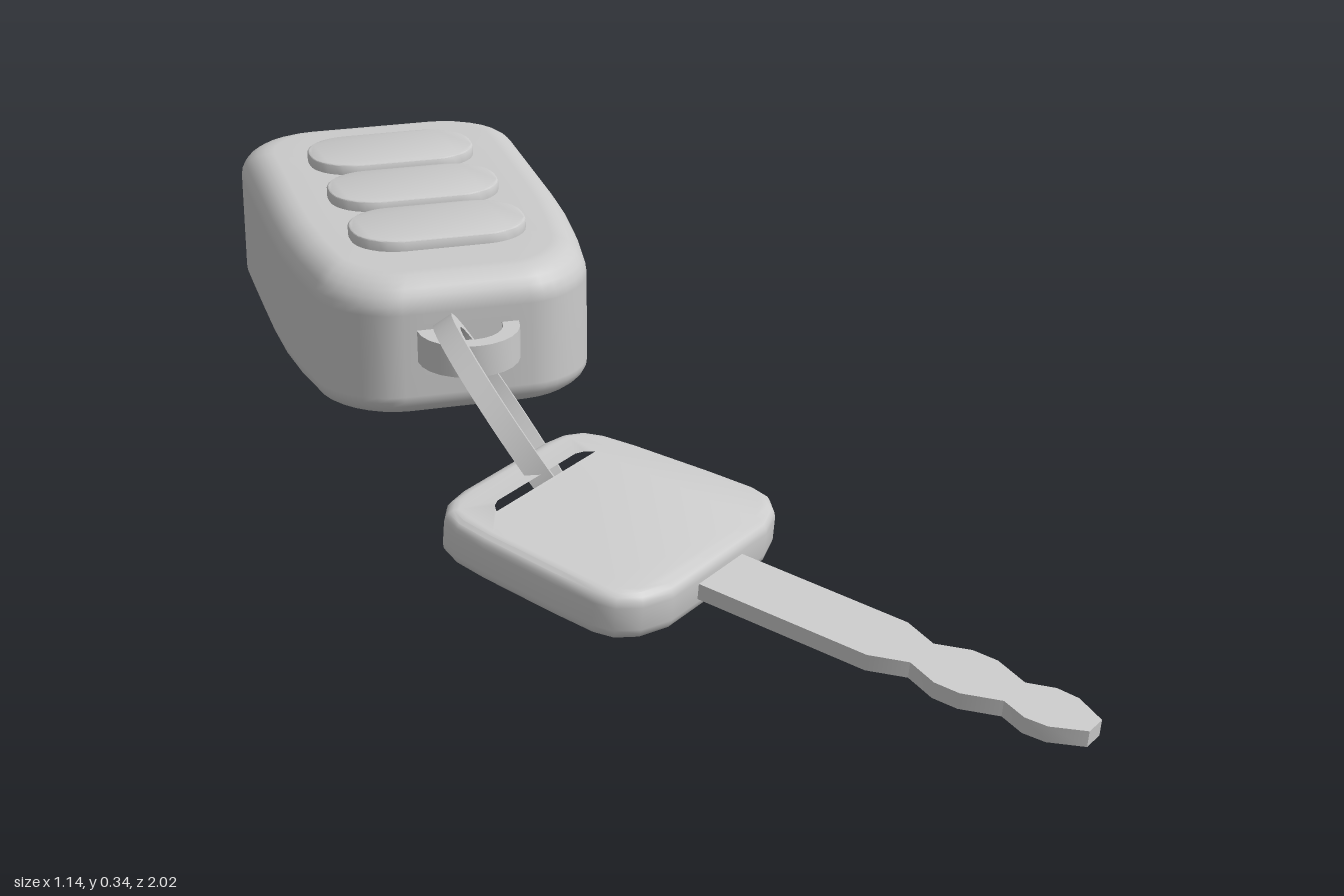
import * as THREE from 'three';
import { toCreasedNormals } from 'three/addons/utils/BufferGeometryUtils.js';

const material = new THREE.MeshStandardMaterial({ color: 0xcccccc });

function part(name, geometry, parent) {
  const mesh = new THREE.Mesh(geometry, material);
  mesh.name = name;
  parent.add(mesh);
  return mesh;
}

// Mirrors a right-hand profile of [x, z] points into a closed outline
function mirrored(half) {
  const left = half.map(([x, z]) => [-x, z]).reverse();
  return [...half, ...left].map(([x, z]) => new THREE.Vector2(x, -z));
}

// Flat plate lying in the xz plane, centred on y = 0
function plate(outline, thickness, bevel, hole) {
  const shape = new THREE.Shape(outline);
  if (hole) shape.holes.push(new THREE.Path(hole));
  const depth = thickness - 2 * bevel;
  const geo = new THREE.ExtrudeGeometry(shape, {
    depth, bevelEnabled: bevel > 0, bevelThickness: bevel, bevelSize: bevel,
    bevelOffset: -bevel, bevelSegments: 4,
  });
  geo.translate(0, 0, -depth / 2);
  geo.rotateX(-Math.PI / 2);
  return toCreasedNormals(geo, 0.7);
}

// Band with a rectangular section around the y axis
function band(inner, outer, height, segments) {
  const h = height / 2;
  const profile = [[outer, -h], [outer, h], [inner, h], [inner, -h], [outer, -h]];
  const geo = new THREE.LatheGeometry(profile.map(([x, y]) => new THREE.Vector2(x, y)), segments);
  return toCreasedNormals(geo, 0.7);
}

// Rounded rectangle as [x, z] points, with extra points along its sides
function roundedRect(hx, hz, r, cornerSteps, sideSteps) {
  const pts = [];
  const corners = [[1, 1], [-1, 1], [-1, -1], [1, -1]];
  corners.forEach(([sx, sz], q) => {
    for (let i = 0; i <= cornerSteps; i++) {
      const a = (q + i / cornerSteps) * Math.PI / 2;
      pts.push([sx * (hx - r) + r * Math.cos(a), sz * (hz - r) + r * Math.sin(a)]);
    }
    const [nx, nz] = corners[(q + 1) % 4];
    const a = (q + 1) * Math.PI / 2;
    const start = pts[pts.length - 1];
    const end = [nx * (hx - r) + r * Math.cos(a), nz * (hz - r) + r * Math.sin(a)];
    for (let i = 1; i < sideSteps; i++) {
      const t = i / sideSteps;
      pts.push([start[0] + (end[0] - start[0]) * t, start[1] + (end[1] - start[1]) * t]);
    }
  });
  return pts;
}

const FOB_W = 0.25, FOB_L = 0.4425, TOP_SLOPE = 0.04;
const fobTop = z => 0.318 + TOP_SLOPE * z;
const fobBottom = z => 0.045 + 0.06 * Math.pow((1 + z / FOB_L) / 2, 1.5);

// Fob shell: stacked outlines, narrowing and thinning towards the ring end (+z)
function fobGeometry() {
  const outline = roundedRect(FOB_W, FOB_L, 0.12, 7, 6).map(([x, z]) => {
    const s = Math.max(0, z / FOB_L);
    return [x * (1 - 0.2 * s * s), z];
  });
  // Each layer: inset, extra scale, measured from the top?, distance from that face
  const layers = [[0.035, 0, 0, 0], [0.035, 0.35, 0, 0], [0.035, 0.7, 0, 0]];
  const steps = 6;
  for (let i = 0; i <= steps; i++) {
    const a = i / steps * Math.PI / 2;
    layers.push([0.035 * (1 - Math.sin(a)), 1, 0, 0.035 * (1 - Math.cos(a))]);
  }
  for (let i = 0; i <= steps; i++) {
    const a = i / steps * Math.PI / 2;
    layers.push([0.055 * (1 - Math.cos(a)), 1, 1, 0.055 * (1 - Math.sin(a))]);
  }
  layers.push([0.055, 0.7, 1, 0], [0.055, 0, 1, 0]);

  const pos = [], index = [], n = outline.length;
  layers.forEach(([inset, scale, fromTop, d], k) => {
    outline.forEach(([ox, oz], j) => {
      const x = ox * scale * (1 - inset / FOB_W), z = oz * scale * (1 - inset / FOB_L);
      pos.push(x, fromTop ? fobTop(z) - d : fobBottom(z) + d, z);
      if (k === layers.length - 1) return;
      const a = k * n + j, b = k * n + (j + 1) % n;
      index.push(a, a + n, b, b, a + n, b + n);
    });
  });
  const geo = new THREE.BufferGeometry();
  geo.setAttribute('position', new THREE.Float32BufferAttribute(pos, 3));
  geo.setIndex(index);
  geo.computeVertexNormals();
  return geo;
}

export function createModel() {
  const model = new THREE.Group();
  model.name = 'keyAndFob';

  // Remote fob with three buttons and a lug
  const fob = new THREE.Group();
  fob.name = 'fob';
  fob.position.set(0.148, 0, -0.566);
  fob.rotation.y = THREE.MathUtils.degToRad(-40);
  model.add(fob);
  part('fobShell', fobGeometry(), fob);

  const buttonOutline = roundedRect(0.145, 0.088, 0.078, 8, 1)
    .map(([x, z]) => new THREE.Vector2(x, -z));
  for (const z of [0.208, 0, -0.208]) {
    const button = part('button', plate(buttonOutline, 0.04, 0.004), fob);
    button.position.set(0, fobTop(z) - 0.002, z);
    button.rotation.x = -TOP_SLOPE;
  }
  const lug = part('ringLug', band(0.055, 0.082, 0.053, 24), fob);
  lug.position.set(0, 0.227, 0.445);

  // Split ring, tilted through both the lug and the key slot
  const ring = part('keyRing', band(0.16, 0.185, 0.034, 40), model);
  ring.position.set(-0.238, 0.17, -0.07);
  ring.quaternion.setFromUnitVectors(
    new THREE.Vector3(0, 1, 0), new THREE.Vector3(0.65, 0.51, 0.56).normalize());

  // Key, sloping down towards its tip
  const key = new THREE.Group();
  key.name = 'key';
  key.position.set(-0.36, 0.131, 0);
  key.rotation.x = 0.089;
  model.add(key);

  const bow = mirrored([
    [0.1, 0.007], [0.14, 0.013], [0.17, 0.032], [0.185, 0.065], [0.193, 0.12],
    [0.203, 0.25], [0.206, 0.325], [0.198, 0.358], [0.17, 0.385], [0.12, 0.402],
  ]);
  const slot = mirrored([[0.1, 0.052], [0.125, 0.062], [0.147, 0.105]]);
  part('keyBow', plate(bow, 0.076, 0.02, slot), key);

  const blade = mirrored([
    [0.056, 0.36], [0.056, 0.68], [0.032, 0.735], [0.054, 0.785], [0.054, 0.825],
    [0.03, 0.88], [0.047, 0.92], [0.045, 0.955], [0.018, 1.003],
  ]);
  part('keyBlade', plate(blade, 0.025, 0), key);

  return model;
}
